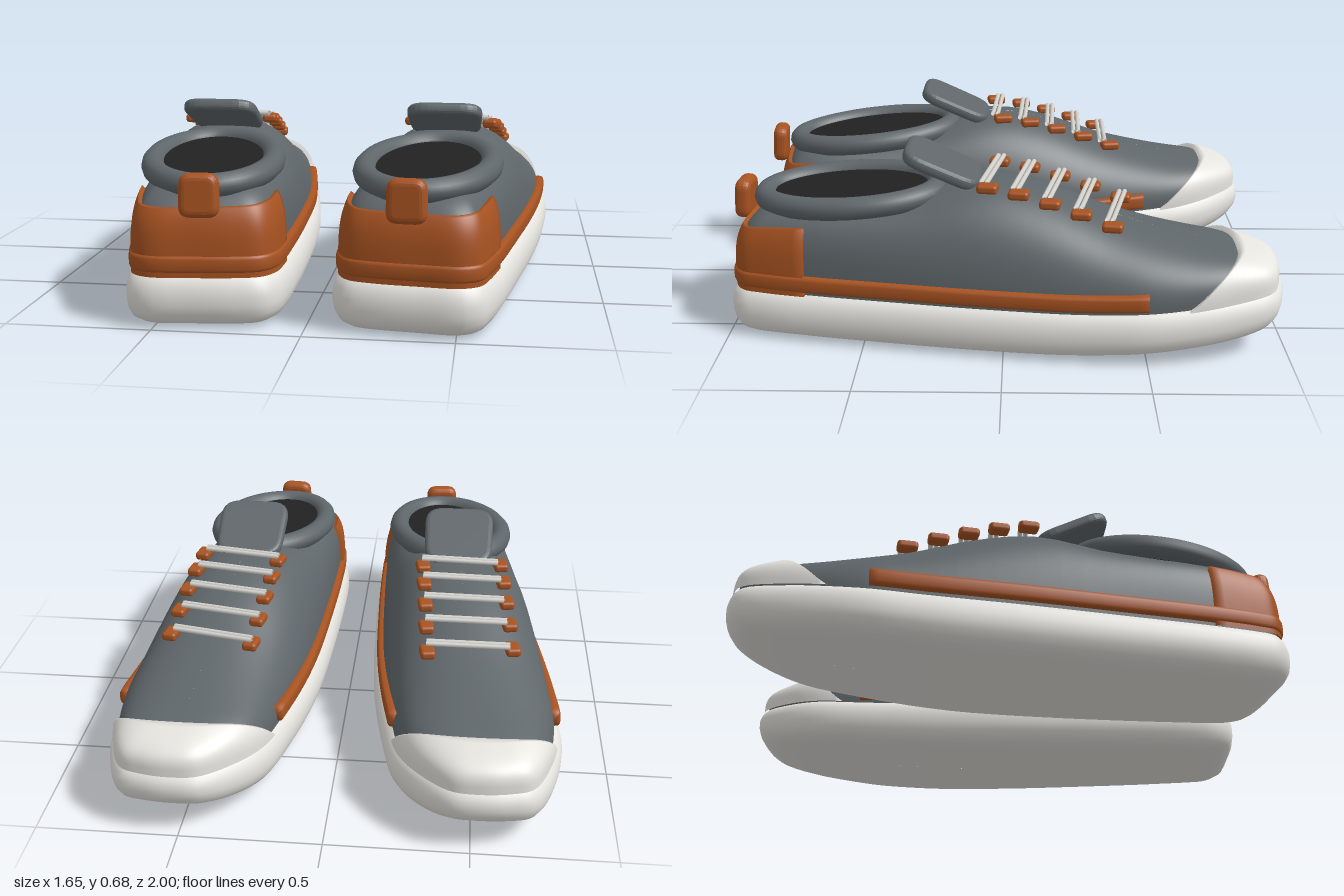
import * as THREE from 'three';
import { mergeVertices } from 'three/addons/utils/BufferGeometryUtils.js';
import { RoundedBoxGeometry } from 'three/addons/geometries/RoundedBoxGeometry.js';

const paint = (name, color) => Object.assign(new THREE.MeshStandardMaterial({ color }), { name });

// Smooth function through [position, value] keys
function curve(keys) {
  const f = new THREE.CubicInterpolant(keys.map(k => k[0]), keys.map(k => k[1]), 1, new Float32Array(1));
  const lo = keys[0][0], hi = keys[keys.length - 1][0];
  return z => f.evaluate(THREE.MathUtils.clamp(z, lo, hi))[0];
}

// Plan outline of one shoe (x, z): toe, outer side, heel, inner side
const outline = new THREE.CatmullRomCurve3([
  [0.52, -1.0], [0.625, -0.985], [0.71, -0.945], [0.785, -0.77], [0.825, -0.53], [0.815, -0.33],
  [0.775, 0], [0.71, 0.4], [0.648, 0.75], [0.615, 0.88], [0.585, 0.955], [0.52, 0.993], [0.38, 0.988], [0.22, 0.967],
  [0.13, 0.935], [0.09, 0.87], [0.077, 0.77], [0.076, 0.6], [0.085, 0.29], [0.11, -0.13], [0.165, -0.5],
  [0.22, -0.74], [0.3, -0.875], [0.42, -0.985],
].map(([x, z]) => new THREE.Vector3(x, 0, z)), true);
const outlinePoint = t => outline.getPoint(((t % 1) + 1) % 1);

const centreX = z => 0.435 - 0.095 * z;
const soleTop = curve([[-1, 0.25], [-0.8, 0.228], [-0.6, 0.208], [-0.3, 0.191], [0, 0.188], [1, 0.188]]);
const soleBottom = curve([[-1, 0.115], [-0.9, 0.078], [-0.6, 0.036], [-0.25, 0.008], [0, 0.002], [0.5, 0], [1, 0.003]]);
const upperTop = curve([[-1, 0.328], [-0.9, 0.332], [-0.8, 0.347], [-0.6, 0.385], [-0.39, 0.44], [-0.17, 0.523],
  [-0.05, 0.555], [0.06, 0.568], [0.18, 0.553], [0.3, 0.518], [0.5, 0.49], [0.7, 0.478], [0.85, 0.465], [1, 0.44]]);
// Section power: lower is boxier, at heel and toe
const boxiness = curve([[-1, 0.55], [-0.85, 0.62], [-0.7, 0.78], [-0.5, 0.86], [0, 0.85], [0.2, 0.74], [0.4, 0.6], [0.7, 0.5], [1, 0.5]]);

// Point between the centre spine (r = 0) and the outline (r = 1), pushed out by off
function planPoint(t, r, off) {
  const o = outlinePoint(t);
  const zs = THREE.MathUtils.clamp(o.z, -0.72, 0.66);
  const s = new THREE.Vector3(centreX(zs), 0, zs);
  const d = o.clone().sub(s);
  const len = d.length();
  return s.addScaledVector(d, r * (len + off) / len);
}

// Domed surface of the upper: t runs round the shoe, v from base to top
function upperPoint(t, v, off) {
  const power = boxiness(outlinePoint(t).z);
  const r = Math.max(0, Math.cos(v)) ** power, s = Math.sin(v) ** power;
  const p = planPoint(t, r, off - 0.034);
  const base = soleTop(p.z) - 0.015;
  p.y = base + (upperTop(p.z) - base + off) * s;
  return p;
}

function gridGeometry(nu, nv, fn) {
  const pos = [], idx = [];
  for (let i = 0; i <= nu; i++) for (let j = 0; j <= nv; j++) pos.push(...fn(i, j).toArray());
  for (let i = 0; i < nu; i++) for (let j = 0; j < nv; j++) {
    const a = i * (nv + 1) + j, b = a + nv + 1;
    idx.push(a, a + 1, b, a + 1, b + 1, b);
  }
  let g = new THREE.BufferGeometry();
  g.setAttribute('position', new THREE.Float32BufferAttribute(pos, 3));
  g.setIndex(idx);
  g = mergeVertices(g, 1e-5);
  g.computeVertexNormals();
  return g;
}

// Overlay shell on the upper with its edges tucked in
function shell(t0, t1, vMax, off, nu = 60, nv = 16) {
  return gridGeometry(nu, nv, (i, j) => {
    const t = THREE.MathUtils.lerp(t0, t1, THREE.MathUtils.clamp((i - 1) / (nu - 2), 0, 1));
    const v = vMax(t) * Math.min(1, j / (nv - 1));
    return upperPoint(t, v, i === 0 || i === nu || j === nv ? -0.012 : off);
  });
}

// Outline parameter where z first passes a limit, toe to heel
function findT(z, outer) {
  for (let k = 0; k <= 500; k++) {
    const t = outer ? k / 1000 : 1 - k / 1000;
    if (outlinePoint(t).z > z) return t;
  }
  return 0.5;
}

// Soft plate with rounded corners
function roundedPlate(w0, w1, h, d, r) {
  const c = [[-w0 / 2, -h / 2], [w0 / 2, -h / 2], [w1 / 2, h / 2], [-w1 / 2, h / 2]].map(p => new THREE.Vector2(...p));
  const s = new THREE.Shape();
  c.forEach((p, i) => {
    const a = c[(i + 3) % 4], b = c[(i + 1) % 4];
    const p0 = p.clone().add(a.clone().sub(p).setLength(r)), p1 = p.clone().add(b.clone().sub(p).setLength(r));
    if (i) s.lineTo(p0.x, p0.y); else s.moveTo(p0.x, p0.y);
    s.quadraticCurveTo(p.x, p.y, p1.x, p1.y);
  });
  const bevel = d * 0.4;
  return new THREE.ExtrudeGeometry(s, { depth: d - 2 * bevel, bevelThickness: bevel, bevelSize: bevel,
    bevelOffset: -bevel, bevelSegments: 4, curveSegments: 6 }).translate(0, 0, -d / 2 + bevel);
}

function rod(a, b, radius) {
  return new THREE.TubeGeometry(new THREE.LineCurve3(a, b), 1, radius, 8);
}

export function createModel() {
  const grey = paint('grey fabric', 0x5f666a);
  const orange = paint('orange trim', 0xa85321);
  const white = paint('off-white rubber', 0xe6e4df);
  const dark = paint('dark lining', 0x222222);
  const lace = paint('lace', 0xd3d2cd);
  lace.side = dark.side = THREE.DoubleSide;

  function buildShoe(name, laceIn, laceOut) {
    const shoe = new THREE.Group();
    shoe.name = name;
    const add = (part, geo, mat) => {
      const m = new THREE.Mesh(geo, mat);
      m.name = part;
      shoe.add(m);
      return m;
    };

    // Sole: rings from bottom centre, round the edge, to top centre [r, off, height]
    const rings = [[0, 0, 0], [0.5, -0.05, 0], [1, -0.085, 0], [1, -0.05, 0.035], [1, -0.022, 0.12], [1, -0.006, 0.26],
      [1, 0, 0.42], [1, 0, 0.6], [1, -0.008, 0.77], [1, -0.024, 0.9], [1, -0.05, 0.98], [1, -0.08, 1], [0.5, -0.05, 1], [0, 0, 1]];
    add('sole', gridGeometry(120, rings.length - 1, (i, j) => {
      const [r, off, h] = rings[j];
      const p = planPoint(i / 120, r, off);
      p.y = THREE.MathUtils.lerp(soleBottom(p.z), soleTop(p.z), h);
      return p;
    }), white);

    // Upper and its overlays
    add('upper', gridGeometry(120, 24, (i, j) => upperPoint(i / 120, j / 24 * Math.PI / 2, 0)), grey);
    const counterEdge = t => Math.asin(0.79 ** (1 / boxiness(outlinePoint(t).z)));
    add('heelCounter', shell(findT(0.71, true), findT(0.71, false), counterEdge, 0.014), orange);
    const capEdge = t => {
      let lo = 0, hi = Math.PI / 2;
      for (let k = 0; k < 24; k++) {
        const v = (lo + hi) / 2;
        if (upperPoint(t, v, 0).z < -0.64 - 0.19 * Math.sin(v) ** 0.7) lo = v; else hi = v;
      }
      return lo;
    };
    add('toeCap', shell(findT(-0.64, false) - 1, findT(-0.64, true), capEdge, 0.018), white);

    // Flat trim band round the heel and sides, closed at both ends
    const t0 = findT(-0.5, true), t1 = findT(-0.57, false);
    add('trimBand', gridGeometry(104, 16, (i, j) => {
      const k = THREE.MathUtils.clamp((i - 2) / 100, 0, 1);
      const size = i % 104 === 0 ? 0 : 1;
      const a = j / 8 * Math.PI, c = Math.cos(a), s = Math.sin(a);
      const p = planPoint(t0 + (t1 - t0) * k, 1, -0.034 + size * 0.022 * Math.sign(c) * Math.abs(c) ** 0.6);
      p.y = soleTop(p.z) + 0.03 + size * 0.03 * Math.sign(s) * Math.abs(s) ** 0.6;
      return p;
    }), orange);

    // Padded collar and dark opening
    const rim = (a, k) => {
      const z = 0.56 + 0.32 * k * Math.sin(a);
      return new THREE.Vector3(centreX(z) + 0.215 * k * Math.cos(a), 0.465 + (0.9 - z) * 0.085, z);
    };
    const ring = Array.from({ length: 32 }, (_, i) => rim(i / 16 * Math.PI, 1));
    add('collar', new THREE.TubeGeometry(new THREE.CatmullRomCurve3(ring, true), 80, 0.041, 12, true), grey);
    add('opening', gridGeometry(48, 1, (i, j) => rim(i / 24 * Math.PI, 1 - j).add(new THREE.Vector3(0, 0.013, 0))), dark);

    // Tongue and heel pull tab
    const tongue = add('tongue', roundedPlate(0.26, 0.28, 0.295, 0.046, 0.08).rotateX(Math.PI / 2), grey);
    tongue.position.set(0.42, 0.607, 0.222);
    tongue.rotation.x = -0.42;
    const tab = add('pullTab', roundedPlate(0.135, 0.13, 0.147, 0.058, 0.04), orange);
    tab.position.set(0.337, 0.45, 0.96);
    tab.rotation.set(-0.06, -0.08, 0);

    // Five rows of eyelets and double laces
    [0.445, 0.486, 0.521, 0.551, 0.57].forEach((y, k) => {
      const inner = new THREE.Vector3(0.322 - 0.009 * k, y, -0.428 + 0.112 * k);
      const outer = new THREE.Vector3(0.63 - 0.011 * k, y, -0.38 + 0.109 * k);
      for (const p of [inner, outer]) {
        const e = add('eyelet', new RoundedBoxGeometry(0.054, 0.032, 0.074, 3, 0.012), orange);
        e.position.copy(p);
        e.rotation.y = -0.15;
      }
      for (const dz of [-0.01, 0.01]) {
        const a = inner.clone().add(new THREE.Vector3(-0.005, 0.022, laceIn + dz));
        const b = outer.clone().add(new THREE.Vector3(-0.01, 0.022, laceOut + dz));
        add('laceStrand', rod(a, b, 0.009), lace);
      }
    });
    return shoe;
  }

  const model = new THREE.Group();
  model.name = 'pairOfShoes';
  const left = buildShoe('leftShoe', -0.005, 0.01);
  const right = buildShoe('rightShoe', 0.032, -0.018);
  right.scale.x = -1;
  model.add(left, right);
  return model;
}
